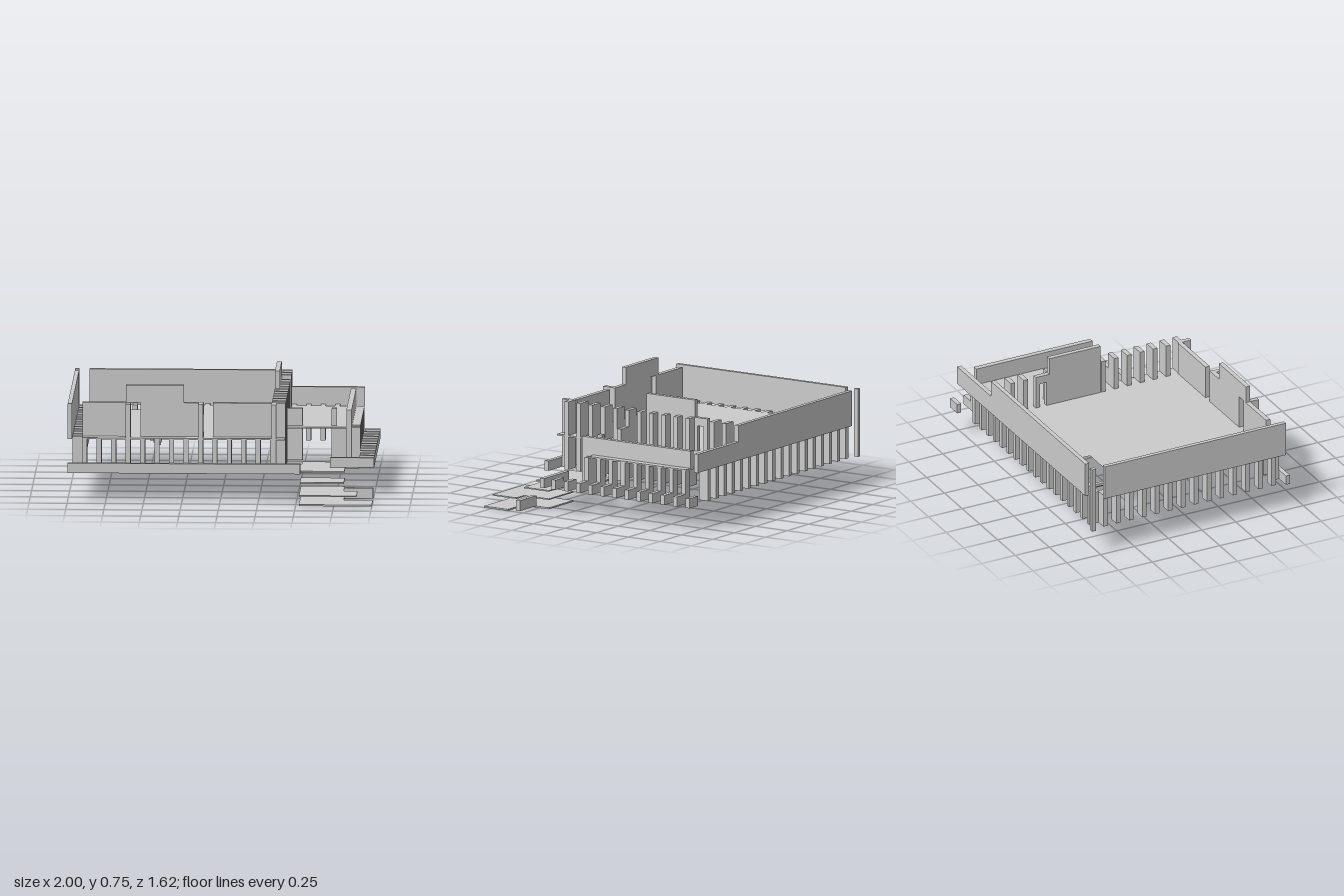
import * as THREE from 'three';

export function createModel() {
  const model = new THREE.Group();
  const mat = new THREE.MeshStandardMaterial({ color: 0xcccccc, flatShading: true });

  const add = (name, geo, parent = model) => {
    const mesh = new THREE.Mesh(geo, mat);
    mesh.name = name;
    parent.add(mesh);
    return mesh;
  };
  // Box given by its limits on each axis
  const box = (name, x0, x1, y0, y1, z0, z1, parent) =>
    add(name, new THREE.BoxGeometry(x1 - x0, y1 - y0, z1 - z0), parent)
      .position.set((x0 + x1) / 2, (y0 + y1) / 2, (z0 + z1) / 2);
  const group = (name) => {
    const g = new THREE.Group();
    g.name = name;
    model.add(g);
    return g;
  };
  const shape = (pts) => new THREE.Shape(pts.map(([a, b]) => new THREE.Vector2(a, b)));
  // Horizontal slab from an outline of [x, z] corners
  const slab = (name, pts, top, thick, hole) => {
    const s = shape(pts.map(([x, z]) => [x, -z]));
    if (hole) s.holes.push(shape(hole.map(([x, z]) => [x, -z])));
    const geo = new THREE.ExtrudeGeometry(s, { depth: thick, bevelEnabled: false });
    geo.rotateX(-Math.PI / 2);
    add(name, geo).position.y = top - thick;
  };
  // Wall across x with an outline of [z, y] corners and an optional opening
  const crossWall = (name, x, thick, pts, hole) => {
    const s = shape(pts.map(([z, y]) => [-z, y]));
    if (hole) s.holes.push(shape(hole.map(([z, y]) => [-z, y])));
    const geo = new THREE.ExtrudeGeometry(s, { depth: thick, bevelEnabled: false });
    geo.rotateY(Math.PI / 2);
    add(name, geo).position.x = x;
  };
  const rect = (a0, a1, b0, b1) => [[a0, b0], [a1, b0], [a1, b1], [a0, b1]];

  const base = 0.185, low = 0.25, deck = 0.415, under = 0.405;
  const wingTop = 0.53, wallTop = 0.64, highTop = 0.755;
  const pitch = 0.0948, t = 0.032;

  // Main deck with a stairwell
  slab('deck', [[-0.905, -0.72], [0.9, -0.72], [0.9, 0.05], [0.845, 0.05], [0.845, 0.14],
    [0.425, 0.14], [0.425, 0.62], [-0.905, 0.62]], deck, 0.01,
  rect(-0.895, -0.43, -0.71, -0.53));

  // Outer walls
  box('backWall', -0.905, 0.425, under, wallTop, -0.815, -0.785);
  box('backWingWall', 0.425, 0.9, under, wingTop, -0.815, -0.785);
  box('backLowWall', 0.9, 1, base, low, -0.815, -0.785);
  box('cornerPillar', -1, -0.972, base, wallTop, -0.815, -0.785);
  box('sideWall', -1, -0.972, under, wallTop, -0.72, 0.62);
  box('wingSideWall', 0.81, 0.845, deck, wingTop, -0.72, 0.14);
  box('frontPlinth', -1, 0.525, base, low, 0.62, 0.65);

  // Front wall, with a doorway below its raised part and a gap beside it
  const s = shape([[-0.905, deck], [-0.59, deck], [-0.59, wallTop], [-0.525, wallTop],
    [-0.525, deck], [-0.11, deck], [-0.11, wallTop], [-0.24, wallTop], [-0.24, highTop],
    [-0.62, highTop], [-0.62, wallTop], [-0.905, wallTop]]);
  add('frontWall', new THREE.ExtrudeGeometry(s, { depth: t, bevelEnabled: false }))
    .position.z = 0.523;
  box('frontWallShort', -0.05, 0.335, deck, wallTop, 0.523, 0.555);

  // Partitions across the front balcony
  for (const x of [-0.62, -0.145])
    crossWall('balconyPartition', x, t, rect(0.555, 0.62, base, wallTop),
      rect(0.572, 0.605, 0.45, 0.57));
  crossWall('balconyEndWall', 0.335, t, rect(0.555, 0.62, base, wallTop));

  // Raised inner wall with a small doorway
  crossWall('innerWall', 0.335, t,
    [[-0.53, deck], [-0.5, deck], [-0.5, 0.585], [-0.45, 0.585], [-0.45, deck],
      [-0.05, deck], [-0.05, highTop], [-0.43, highTop], [-0.43, wallTop], [-0.53, wallTop]]);

  // Fins along the back and the front
  const backFins = group('backFins'), frontFins = group('frontFins');
  for (let i = 0; i < 18; i++) {
    const x = -0.905 + i * pitch;
    box('backFin', x, x + t, base, deck, -0.785, -0.715, backFins);
    if (i < 14) box('frontFin', x, x + t, base, under, 0.553, 0.62, frontFins);
  }

  // Fins along both sides and between the hall and the wing
  const sideFins = group('sideFins'), wingFins = group('wingFins'), hallFins = group('hallFins');
  for (let i = 0; i < 14; i++) {
    const z = -0.715 + i * 0.0957;
    box('sideFin', -0.972, -0.905, base, deck, z, z + t, sideFins);
    if (i !== 2) box('hallFin', 0.335, 0.425, base, wallTop, z, z + t, hallFins);
    if (i < 9) box('wingFin', 0.845, 0.9, base, under, z, z + t, wingFins);
    if (i < 11) box('wingFinFoot', 0.9, 1, base, low, z, z + t, wingFins);
  }

  // Entrance walls below and above the wing floor
  box('entranceWall', 0.425, 0.522, base, wingTop, 0.05, 0.082);
  box('entranceWall', 0.712, 0.845, base, under, 0.05, 0.082);
  box('entrancePost', 0.712, 0.745, base, wingTop, 0.05, 0.082);
  box('entranceSideWall', 0.81, 0.845, base, deck, 0.05, 0.14);

  // Staircase down through the deck
  const stairs = group('stairs');
  const steps = 16, run = 0.38 / steps, rise = (deck - base) / steps;
  for (let i = 0; i < steps; i++) {
    const x = -0.81 + i * run, y = deck - i * rise;
    box('step', x, x + run, y - rise * 1.3, y, -0.72, -0.53, stairs);
  }
  box('stairLanding', -0.905, -0.81, 0.35, 0.36, -0.72, -0.53, stairs);

  // Entrance terraces stepping down to the ground
  slab('upperTerrace', [[0.522, 0.14], [0.712, 0.14], [0.712, 0.23], [0.9, 0.23], [0.9, 0.34],
    [0.81, 0.34], [0.81, 0.525], [0.425, 0.525], [0.425, 0.23], [0.522, 0.23]], base, 0.01);
  slab('middleTerrace', rect(0.522, 0.81, 0.425, 0.62), 0.126, 0.008);
  const ell = (x) => [[0.522, 0.425], [0.81, 0.425], [0.81, 0.62], [x, 0.62], [x, 0.81], [0.522, 0.81]];
  slab('lowerTerrace', ell(0.9), 0.07, 0.008);
  slab('groundTerrace', ell(1), 0.01, 0.01);
  box('terraceWall', 0.712, 1, base, low, 0.333, 0.365);
  box('lowTerraceWall', 0.81, 1, 0.01, 0.08, 0.523, 0.555);

  return model;
}
